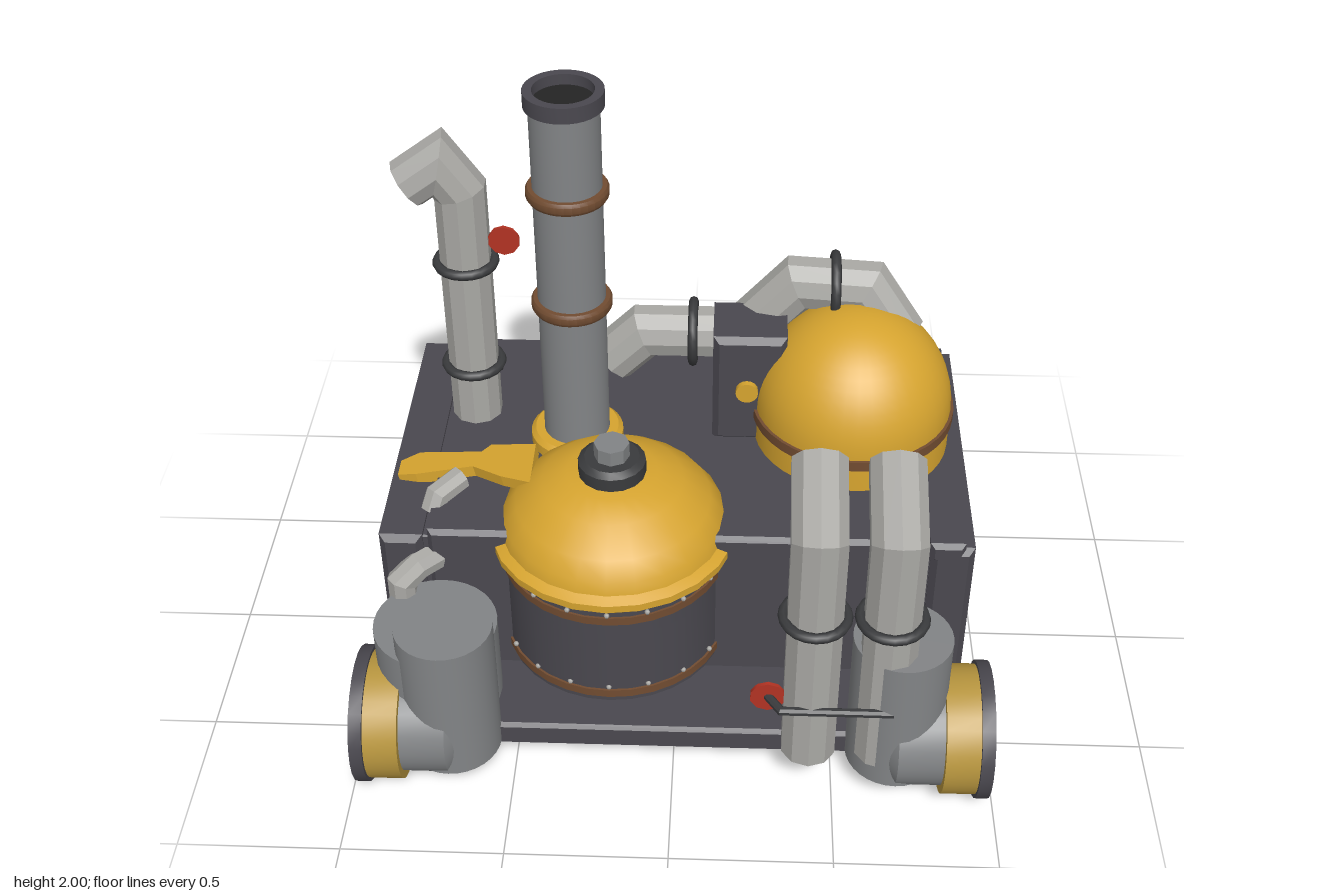
import * as THREE from 'three';
import { toCreasedNormals } from 'three/addons/utils/BufferGeometryUtils.js';

const mat = (name, color, side = THREE.FrontSide) => {
  const m = new THREE.MeshStandardMaterial({ color, side });
  m.name = name;
  return m;
};
const V = (x, y, z) => new THREE.Vector3(x, y, z);

export function createModel() {
  const root = new THREE.Group();
  root.name = 'steamMachine';
  const iron = mat('darkIron', 0x4a484f);
  const black = mat('sootBlack', 0x242424);
  const steel = mat('greySteel', 0x828486);
  const pale = mat('palePipe', 0xa9a8a4);
  const band = mat('bandBlack', 0x3a3b3d);
  const yellow = mat('yellowPaint', 0xd6a42f);
  const brass = mat('wheelBrass', 0xb8963f);
  const copper = mat('copperBrown', 0x714c31);
  const red = mat('valveRed', 0xb23323);

  const add = (name, geo, material, x = 0, y = 0, z = 0) => {
    const m = new THREE.Mesh(geo, material);
    m.name = name;
    m.position.set(x, y, z);
    root.add(m);
    return m;
  };
  // Box with chamfered edges, given by its limits
  const block = (name, x0, x1, y0, y1, z0, z1, c, material) => {
    const s = new THREE.Shape([[x0 + c, y0 + c], [x1 - c, y0 + c], [x1 - c, y1 - c], [x0 + c, y1 - c]]
      .map(p => new THREE.Vector2(...p)));
    const g = new THREE.ExtrudeGeometry(s, { depth: z1 - z0 - 2 * c, bevelEnabled: true, bevelSize: c, bevelThickness: c, bevelSegments: 1 });
    return add(name, g, material, 0, 0, z0 + c);
  };
  // Turned part from [radius, height] pairs
  const turned = (name, pts, material, x, y, z, seg = 32) =>
    add(name, toCreasedNormals(new THREE.LatheGeometry(pts.map(p => new THREE.Vector2(...p)), seg), 0.55), material, x, y, z);
  const drum = (name, r, y0, y1, material, x, z, seg = 32) =>
    turned(name, [[0, y0], [r, y0], [r, y1], [0, y1]], material, x, 0, z, seg);

  // Faceted pipe with mitred bends and closed ends
  const pipe = (name, pts, r, material, n = 10) => {
    const dirs = pts.slice(1).map((p, i) => p.clone().sub(pts[i]).normalize());
    const d0 = dirs[0];
    const u = V(0, 0, 1).cross(d0);
    if (u.length() < 0.1) u.set(1, 0, 0);
    u.normalize();
    const w = d0.clone().cross(u);
    const rings = [[]];
    for (let k = 0; k < n; k++) {
      const a = (k + 0.5) / n * Math.PI * 2;
      rings[0].push(pts[0].clone().addScaledVector(u, r * Math.cos(a)).addScaledVector(w, r * Math.sin(a)));
    }
    dirs.forEach((d, i) => {
      const normal = d.clone().add(dirs[i + 1] || d).normalize();
      rings.push(rings[i].map(p => p.clone().addScaledVector(d, pts[i + 1].clone().sub(p).dot(normal) / d.dot(normal))));
    });
    const out = [];
    const tri = (...t) => t.forEach(p => out.push(p.x, p.y, p.z));
    for (let k = 0; k < n; k++) {
      const j = (k + 1) % n, last = rings.length - 1;
      for (let i = 0; i < last; i++) {
        tri(rings[i][k], rings[i][j], rings[i + 1][j]);
        tri(rings[i][k], rings[i + 1][j], rings[i + 1][k]);
      }
      tri(pts[0], rings[0][j], rings[0][k]);
      tri(pts[last], rings[last][k], rings[last][j]);
    }
    const g = new THREE.BufferGeometry();
    g.setAttribute('position', new THREE.Float32BufferAttribute(out, 3));
    g.computeVertexNormals();
    return add(name, g, material);
  };
  const ring = (name, r, x, y, z, axis = 'y') => {
    const g = new THREE.TorusGeometry(r, 0.016, 8, 20);
    if (axis === 'y') g.rotateX(Math.PI / 2); else g.rotateY(Math.PI / 2);
    return add(name, g, band, x, y, z);
  };
  const disc = (name, r, t, material, x, y, z, seg = 10) =>
    add(name, new THREE.CylinderGeometry(r, r, t, seg).rotateX(Math.PI / 2), material, x, y, z);

  // Hull: floor slab, centre block and two side blocks
  block('floorSlab', -0.765, 0.765, 0.09, 0.18, -0.66, 0.64, 0.012, iron);
  block('centreHull', -0.77, 0.77, 0.12, 0.73, -0.68, 0.36, 0.015, iron);
  for (const s of [-1, 1]) {
    const [a, b] = s > 0 ? [0.785, 0.92] : [-0.92, -0.785];
    block('sideHull', a, b, 0.15, 0.71, -0.68, 0.37, 0.02, iron);
    block('sideHullSeam', s > 0 ? 0.76 : -0.8, s > 0 ? 0.8 : -0.76, 0.13, 0.7, -0.665, 0.345, 0.005, iron);
    for (const [z0, z1] of [[-0.68, -0.43], [0.14, 0.37]])
      if (s > 0) block('sideRail', 0.78, 0.89, 0.66, 0.73, z0, z1, 0.015, iron);
    block('sideSkirt', s > 0 ? 0.74 : -0.88, s > 0 ? 0.88 : -0.74, 0.09, 0.17, -0.56, 0.36, 0.01, iron);
  }

  // Wheels, hubs and corner tanks
  for (const s of [-1, 1]) for (const z of [-0.635, 0.635]) {
    const parts = [
      turned('wheelHub', [[0, 0.6], [0.12, 0.64], [0.175, 0.69], [0.175, 0.84]], steel, 0, 0.215, z),
      turned('wheelBand', [[0.17, 0.83], [0.2, 0.83], [0.2, 0.94], [0.17, 0.94]], brass, 0, 0.215, z),
      turned('wheelRim', [[0, 0.935], [0.212, 0.935], [0.212, 0.975], [0.172, 0.975], [0.172, 0.955]], iron, 0, 0.215, z, 24),
      turned('wheelFace', [[0.175, 0.956], [0, 0.956]], black, 0, 0.215, z, 24),
    ];
    parts.forEach(p => { p.rotation.z = -s * Math.PI / 2; });
    drum('cornerTank', 0.15, 0.11, 0.605, steel, s * 0.69, z);
  }
  drum('tankJacket', 0.19, 0.25, 0.53, steel, -0.73, 0.55);
  pipe('tankFeedPipe', [V(-0.85, 0.45, 0.41), V(-0.85, 0.57, 0.41), V(-0.8, 0.61, 0.38), V(-0.75, 0.61, 0.33)], 0.045, pale, 8);

  // Main boiler with lid
  const bx = -0.2, bz = 0.23;
  drum('boilerFoot', 0.255, 0.15, 0.26, black, bx, bz);
  drum('boilerBottomDisc', 0.26, 0.085, 0.092, black, bx, bz);
  drum('boilerDrum', 0.35, 0.24, 0.66, iron, bx, bz);
  add('boilerPanel', new THREE.CylinderGeometry(0.356, 0.356, 0.22, 12, 1, true, -0.72, 1.44), iron, bx, 0.42, bz);
  for (const y of [0.275, 0.585]) {
    drum('boilerBand', 0.357, y - 0.014, y + 0.014, copper, bx, bz);
    for (let i = 0; i < 18; i++) {
      const a = i / 18 * Math.PI * 2;
      add('boilerRivet', new THREE.SphereGeometry(0.009, 6, 4), pale, bx + 0.356 * Math.sin(a), y + (y < 0.4 ? 0.03 : 0.026), bz + 0.356 * Math.cos(a));
    }
  }
  turned('boilerLid', [[0, 0.635], [0.37, 0.635], [0.385, 0.65], [0.385, 0.675], [0.355, 0.69], [0.345, 0.73],
    [0.305, 0.785], [0.22, 0.855], [0.14, 0.885], [0, 0.89]], yellow, bx, 0, bz, 24);
  turned('lidCap', [[0, 0.87], [0.105, 0.87], [0.105, 0.93], [0.085, 0.945], [0, 0.945]], band, bx, 0, bz, 16);
  drum('lidKnob', 0.055, 0.94, 0.995, steel, bx, bz, 8);

  // Yellow bracket from the lid over the hull edge
  const arm = new THREE.Shape([[-0.45, 0.03], [-0.6, 0], [-0.63, 0.03], [-0.84, -0.01], [-0.9, 0.02], [-0.9, 0.09],
    [-0.84, 0.1], [-0.65, 0.1], [-0.55, 0.17], [-0.45, 0.22]].map(p => new THREE.Vector2(...p)));
  const armGeo = new THREE.ExtrudeGeometry(arm, { depth: 0.04, bevelEnabled: false });
  armGeo.rotateX(Math.PI / 2).translate(0.88, 0, 0).rotateZ(0.2);
  add('lidBracket', armGeo, yellow, -0.88, 0.735, 0);
  block('sideStripe', -0.926, -0.918, 0.38, 0.63, 0.03, 0.1, 0.001, yellow);
  pipe('smallVent', [V(-0.77, 0.7, 0.22), V(-0.755, 0.745, 0.2), V(-0.69, 0.76, 0.13)], 0.04, pale, 8);

  // Chimney
  const cx = -0.34, cz = -0.13;
  turned('chimneyCollar', [[0.15, 0.7], [0.15, 0.765], [0.135, 0.78], [0.1, 0.78]], yellow, cx, 0, cz);
  drum('chimneyStack', 0.106, 0.7, 1.96, steel, cx, cz);
  turned('chimneyRim', [[0.1, 1.95], [0.12, 1.95], [0.12, 2], [0.092, 2], [0.092, 1.965]], iron, cx, 0, cz);
  turned('chimneyMouth', [[0.095, 1.966], [0, 1.966]], black, cx, 0, cz);
  for (const y of [1.27, 1.665]) turned('chimneyBand', [[0.1, y - 0.02], [0.12, y - 0.02], [0.126, y - 0.01],
    [0.126, y + 0.01], [0.12, y + 0.02], [0.1, y + 0.02]], copper, cx, 0, cz);

  // Round dome tank
  const dx = 0.555, dz = -0.2, dome = [[0.318, 0.7], [0.318, 0.86]];
  for (let i = 1; i <= 14; i++) {
    const a = i / 14 * Math.PI / 2;
    dome.push([0.318 * Math.cos(a), 0.86 + 0.33 * Math.sin(a)]);
  }
  turned('domeTank', dome, yellow, dx, 0, dz, 40);
  turned('domeBand', [[0.31, 0.818], [0.328, 0.818], [0.328, 0.852], [0.31, 0.852]], copper, dx, 0, dz, 40);

  // Valve box beside the dome
  block('valveBox', 0.1, 0.335, 0.72, 1.125, -0.365, -0.135, 0.02, iron);
  disc('valveBoxGauge', 0.036, 0.03, yellow, 0.21, 0.93, -0.13, 16);

  // Pipes over the deck and the dome
  pipe('deckPipe', [V(0.26, 0.97, -0.4), V(-0.13, 0.97, -0.4), V(-0.24, 0.86, -0.4)], 0.087, pale);
  ring('deckPipeBand', 0.1, 0.03, 0.97, -0.4, 'x');
  pipe('domePipe', [V(0.22, 1.03, -0.36), V(0.37, 1.2, -0.36), V(0.59, 1.2, -0.34), V(0.7, 1.05, -0.29)], 0.087, pale);
  ring('domePipeBand', 0.1, 0.485, 1.2, -0.345, 'x');

  // Tall bent pipe with valve wheel
  pipe('tallPipe', [V(-0.685, 0.7, -0.265), V(-0.685, 1.58, -0.265), V(-0.748, 1.675, -0.26), V(-0.845, 1.61, -0.245)], 0.082, pale);
  for (const y of [0.93, 1.32]) ring('tallPipeBand', 0.09, -0.685, y, -0.265);
  disc('tallPipeValve', 0.05, 0.012, red, -0.555, 1.42, -0.23);

  // Twin front exhaust pipes, shared rod and valve wheel
  for (const x of [0.42, 0.645]) {
    pipe('frontPipe', [V(x, 0.18, 0.69), V(x, 1.02, 0.69), V(x, 1.13, 0.46)], 0.086, pale);
    ring('frontPipeBand', 0.095, x, 0.735, 0.69);
  }
  pipe('frontRod', [V(0.29, 0.415, 0.71), V(0.33, 0.415, 0.77), V(0.66, 0.415, 0.77), V(0.69, 0.415, 0.74)], 0.014, band, 8);
  disc('frontValve', 0.055, 0.012, red, 0.29, 0.415, 0.71);

  return root;
}
